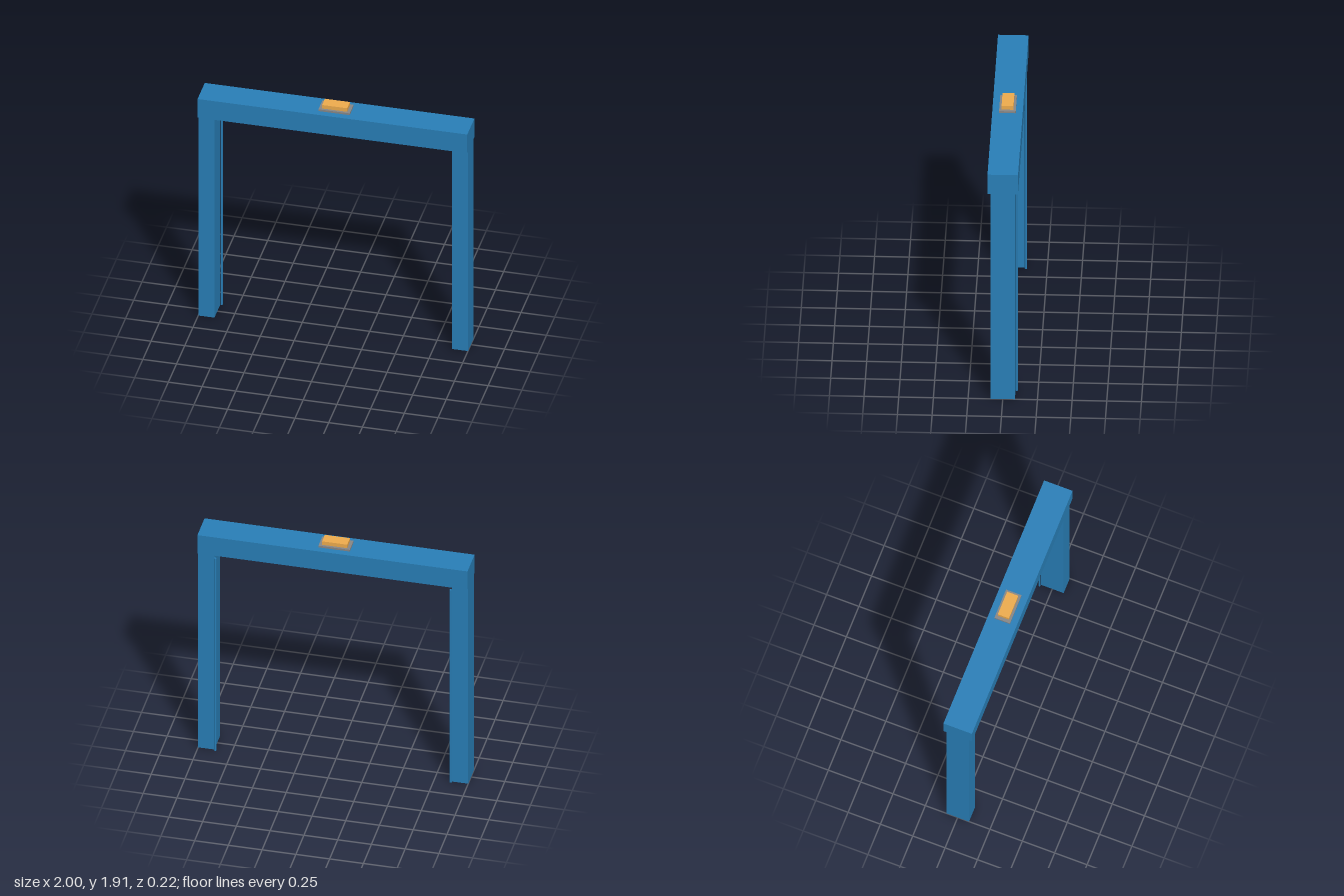
import * as THREE from 'three';

const blue = new THREE.MeshStandardMaterial({ color: 0x2980b9 });
const grey = new THREE.MeshStandardMaterial({ color: 0x888888 });
const amber = new THREE.MeshStandardMaterial({ color: 0xf0ad4e });

// Box standing on height y
function box(name, w, h, d, x, y, material) {
  const mesh = new THREE.Mesh(new THREE.BoxGeometry(w, h, d), material);
  mesh.name = name;
  mesh.position.set(x, y + h / 2, 0);
  return mesh;
}

export function createModel() {
  const group = new THREE.Group();
  group.name = 'doorFrame';

  // Jambs, each with a thin hinge rod against its inner back corner
  for (const [side, s] of [['left', 1], ['right', -1]]) {
    group.add(box(side + 'Post', 0.12, 1.71, 0.176, s * 0.94, 0, blue));
    const rod = new THREE.Mesh(new THREE.CylinderGeometry(0.009, 0.009, 1.68, 8), blue);
    rod.name = side + 'HingeRod';
    rod.position.set(s * 0.872, 0.84, -0.096);
    group.add(rod);
  }

  // Lintel across the top
  group.add(box('lintel', 2, 0.16, 0.22, 0, 1.71, blue));

  // Base plate and lamp on the lintel
  group.add(box('lampBase', 0.232, 0.015, 0.12, 0, 1.87, grey));
  group.add(box('lamp', 0.186, 0.03, 0.086, 0, 1.885, amber));

  return group;
}
